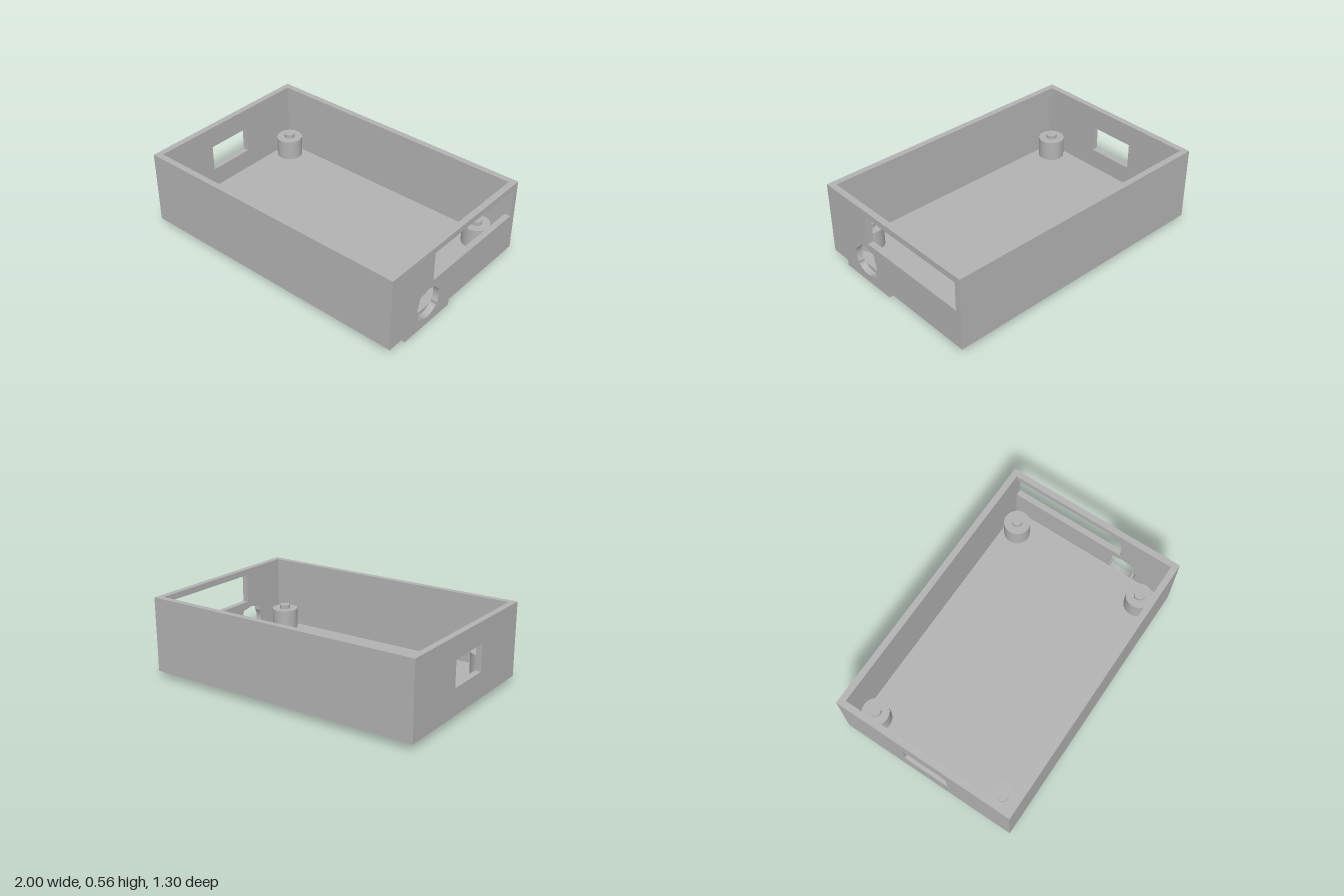
import * as THREE from 'three';

const W = 1, D = 0.65, T = 0.043;           // half length, half depth, wall thickness
const BASE = 0.043, FLOOR = 0.084, TOP = 0.563;

export function createModel() {
  const group = new THREE.Group();
  const grey = new THREE.MeshStandardMaterial({ color: 0xb2b2b2 });
  grey.name = 'grey plastic';

  const add = (name, geometry, x = 0, y = 0, z = 0) => {
    const mesh = new THREE.Mesh(geometry, grey);
    mesh.name = name;
    mesh.position.set(x, y, z);
    group.add(mesh);
    return mesh;
  };
  const block = (name, x0, x1, y0, y1, z0, z1) =>
    add(name, new THREE.BoxGeometry(x1 - x0, y1 - y0, z1 - z0),
      (x0 + x1) / 2, (y0 + y1) / 2, (z0 + z1) / 2);

  // Rectangle outline in the wall plane (u = -z, v = y)
  const rect = (Kind, u0, u1, v0, v1) => new Kind([
    [u0, v0], [u1, v0], [u1, v1], [u0, v1],
  ].map(([u, v]) => new THREE.Vector2(u, v)));

  // End wall with cut-outs, extruded along +x
  const endWall = (name, x, holes) => {
    const shape = rect(THREE.Shape, -D, D, BASE, TOP);
    shape.holes.push(...holes);
    const g = new THREE.ExtrudeGeometry(shape, { depth: T, bevelEnabled: false, curveSegments: 16 });
    g.rotateY(Math.PI / 2);
    add(name, g, x);
  };

  // Jack opening: a circle joined with a stepped square
  const jackHole = () => {
    const cu = -0.28, cv = 0.163, r = 0.109, low = -0.079, side = 0.094, high = 0.097;
    const p = new THREE.Path();
    const line = (u, v) => p.lineTo(cu + u, cv + v);
    const arc = (a, b) => p.absarc(cu, cv, r, a, b, false);
    const aLow = Math.asin(low / r), aSide = Math.acos(side / r), aHigh = Math.asin(high / r);
    arc(-Math.PI - aLow, aLow);
    line(side, low);
    arc(-aSide, aSide);
    line(side, 0.082); line(0.087, 0.082); line(0.087, high);
    arc(aHigh, Math.PI - aHigh);
    line(-0.087, high); line(-0.087, 0.082); line(-side, 0.082);
    arc(Math.PI - aSide, Math.PI + aSide);
    line(-side, low);
    p.closePath();
    return p;
  };

  // Tray
  block('floor', -W + T, W - T, BASE, FLOOR, -D + T, D - T);
  block('frontWall', -W + T, W - T, BASE, TOP, D - T, D);
  block('backWall', -W + T, W - T, BASE, TOP, -D, -D + T);
  endWall('slottedEndWall', W - T, [rect(THREE.Path, -0.243, 0.607, 0.315, 0.52), jackHole()]);
  endWall('windowEndWall', -W, [rect(THREE.Path, -0.17, 0.167, 0.225, 0.412)]);

  // Tab below the jack opening
  block('bottomTab', 0.915, W, 0, BASE, 0.055, 0.505);

  // Mounting posts with locating pins
  for (const x of [-0.856, 0.813]) {
    for (const z of [-0.506, 0.5]) {
      add('mountingPost', new THREE.CylinderGeometry(0.0925, 0.0925, 0.23 - FLOOR, 48), x, (0.23 + FLOOR) / 2, z);
      add('locatingPin', new THREE.CylinderGeometry(0.0375, 0.0375, 0.028, 32), x, 0.244, z);
    }
  }
  return group;
}
